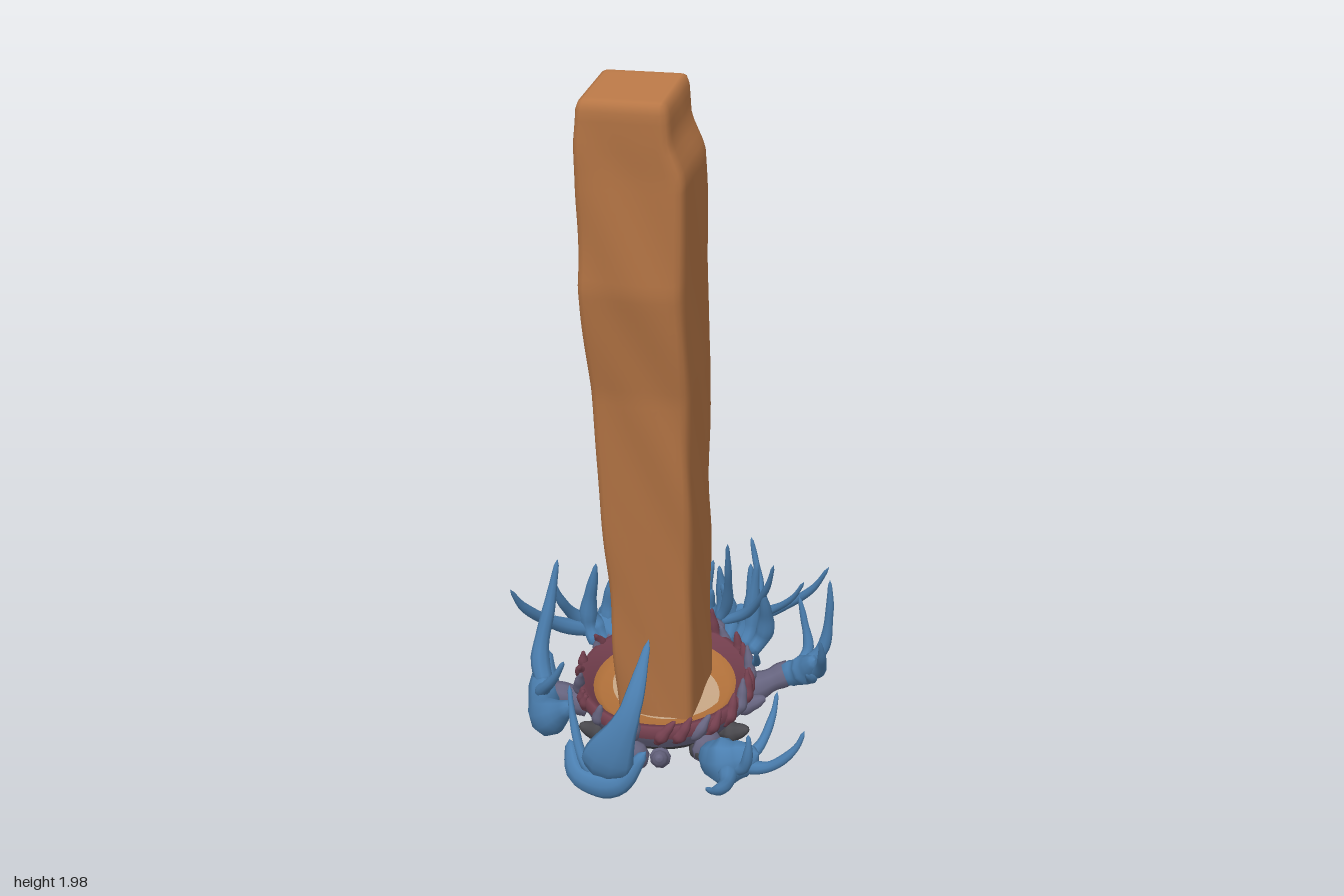
import * as THREE from 'three';
import { mergeVertices } from 'three/addons/utils/BufferGeometryUtils.js';

const mat = (name, color) =>
  Object.assign(new THREE.MeshStandardMaterial({ color }), { name });

// Small seeded generator for the irregular growth
let seed = 7;
const rand = (a, b) => {
  seed = (seed * 16807) % 2147483647;
  return a + (b - a) * (seed / 2147483647);
};

// Linear interpolation through evenly spaced values
const sample = (list, t) => {
  const f = Math.min(t, 0.9999) * (list.length - 1), i = Math.floor(f);
  return list[i] + (list[i + 1] - list[i]) * (f - i);
};

const smooth = (geo) => {
  geo.deleteAttribute('uv');
  geo.deleteAttribute('normal');
  const g = mergeVertices(geo, 1e-5);
  g.computeVertexNormals();
  return g;
};

const vec = (p) => new THREE.Vector3(...p);

// Point at an angle around the vertical axis
const polar = (a, r, y) => vec([Math.sin(a) * r, y, Math.cos(a) * r]);

// Tapered organic limb along a curve; squash scales the cross-section per axis
function limb(name, material, points, radii, squash = [1, 1, 1]) {
  const curve = new THREE.CatmullRomCurve3(points);
  const n = 20, sides = 9, s = vec(squash);
  const geo = new THREE.TubeGeometry(curve, n, 1, sides);
  const pos = geo.attributes.position, v = new THREE.Vector3();
  for (let i = 0; i < pos.count; i++) {
    const ring = Math.floor(i / (sides + 1)), t = ring / n, c = curve.getPointAt(t);
    const end = ring === 0 || ring === n ? 0.02 : 1;
    const lump = 1 + 0.06 * Math.sin(ring * 0.8 + points[0].x * 40);
    v.fromBufferAttribute(pos, i).sub(c).multiply(s).multiplyScalar(sample(radii, t) * end * lump).add(c);
    pos.setXYZ(i, v.x, v.y, v.z);
  }
  const mesh = new THREE.Mesh(smooth(geo), material);
  mesh.name = name;
  return mesh;
}

// Tendril that swings outward first, then curls up to its tip
function tendril(material, root, tip, r) {
  const bend = (t, rise, out) => {
    const p = root.clone().lerp(tip, t);
    return p.set(p.x * out, root.y + (tip.y - root.y) * rise, p.z * out);
  };
  return limb('tendril', material, [root, bend(0.4, 0.22, 1.1), bend(0.8, 0.66, 1.05), tip],
    [r, r, r * 0.75, r * 0.55, 0.005]);
}

// Leaning, roughly hewn beam with softened corners
function makePost(material) {
  // height, front z, back z, right x, left x
  const stations = [
    [0.08, 0.11, -0.135, -0.12, 0.11], [0.6, 0.19, -0.06, -0.12, 0.12],
    [1.2, 0.285, 0.01, -0.13, 0.135], [1.5, 0.355, 0.085, -0.14, 0.14],
    [1.8, 0.38, 0.135, -0.125, 0.145], [1.88, 0.39, 0.15, -0.125, 0.115],
    [1.98, 0.40, 0.17, -0.115, 0.11],
  ];
  const at = (y) => {
    let i = 0;
    while (i < stations.length - 2 && y > stations[i + 1][0]) i++;
    const a = stations[i], b = stations[i + 1];
    const t = THREE.MathUtils.clamp((y - a[0]) / (b[0] - a[0]), 0, 1);
    return a.map((value, k) => value + (b[k] - value) * t);
  };
  const geo = smooth(new THREE.BoxGeometry(2, 2, 2, 14, 80, 14));
  const pos = geo.attributes.position, p = new THREE.Vector3(), q = new THREE.Vector3();
  const round = vec([0.18, 0.018, 0.18]);
  const inner = vec([1, 1, 1]).sub(round), outer = inner.clone().negate();
  for (let i = 0; i < pos.count; i++) {
    p.fromBufferAttribute(pos, i);
    q.copy(p).clamp(outer, inner);
    p.sub(q).divide(round).clampLength(0, 1).multiply(round).add(q);
    const h = 0.08 + (p.y + 1) * 0.95, [, zf, zb, xr, xl] = at(h);
    // Long diagonal carved grain, fading out at the top
    const grain = 0.004 * THREE.MathUtils.clamp((1.98 - h) * 8, 0, 1) *
      (Math.sin(h * 9 + p.x * 3.4 - p.z * 3) * Math.sin(h * 4 - p.z * 2) + 0.35 * Math.sin(h * 17 + p.x * 5 - p.z * 6));
    const dz = p.z * ((zf - zb) / 2 + grain);
    pos.setXYZ(i, (xl + xr) / 2 + p.x * ((xl - xr) / 2 + grain), h - dz * 0.18, (zf + zb) / 2 + dz);
  }
  geo.computeVertexNormals();
  const mesh = new THREE.Mesh(geo, material);
  mesh.name = 'post';
  return mesh;
}

export function createModel() {
  seed = 7;
  const model = new THREE.Group();
  const wood = mat('wood brown', 0xb87746);
  const blue = mat('growth blue', 0x4b7fb0);
  const mauve = mat('stem mauve', 0x66647f);
  const maroon = mat('rim maroon', 0x75404f);
  const tan = mat('ring tan', 0xb0703a);
  const cream = mat('core cream', 0xc6a584);
  const grey = mat('underside grey', 0x4a494e);
  model.add(makePost(wood));

  // Shallow tilted bowl, one lathe per colour band
  const bowl = new THREE.Group();
  bowl.name = 'bowl';
  const band = (name, material, ...pts) => {
    const mesh = new THREE.Mesh(
      new THREE.LatheGeometry(pts.map((p) => new THREE.Vector2(...p)), 48), material);
    mesh.name = name;
    bowl.add(mesh);
    return mesh;
  };
  band('bowlUnderside', grey, [0, 0], [0.13, 0.002], [0.19, 0.012], [0.215, 0.03], [0.235, 0.055]);
  band('bowlWall', mauve, [0.235, 0.055], [0.25, 0.085], [0.255, 0.1]);
  band('bowlRim', maroon, [0.255, 0.1], [0.258, 0.12], [0.25, 0.14], [0.238, 0.14], [0.21, 0.1]);
  band('bowlRing', tan, [0.215, 0.105], [0.19, 0.085], [0.1, 0.075]);
  band('bowlCore', cream, [0.172, 0.083], [0.1, 0.079], [0, 0.078]).position.set(0.008, 0, -0.03);
  bowl.rotation.x = 0.13;
  bowl.position.set(-0.005, 0.055, -0.02);
  model.add(bowl);

  // Ragged flakes around the rim, taller towards the back
  for (let i = 0; i < 30; i++) {
    const a = (i / 30) * Math.PI * 2 + rand(-0.08, 0.08);
    const h = rand(0.01, 0.05) + rand(0, 0.045) * (1 - Math.cos(a));
    bowl.add(limb('rimFlake', i % 3 ? maroon : mauve,
      [polar(a - 0.08, 0.235, 0.08), polar(a, 0.252, 0.115), polar(a + rand(0, 0.2), 0.25, 0.13 + h)],
      [0.015, 0.021, 0.014, 0.004]));
  }

  // A clump: stem from the bowl, curved body, and tendrils given as [x, y, z, radius]
  const clump = (rootPoint, thickness, bodyPoints, tips) => {
    const group = new THREE.Group(), root = vec(rootPoint);
    group.name = 'clump';
    const rim = root.clone().setY(0).setLength(0.225).setY(0.085 - 0.13 * root.z * 0.5);
    group.add(limb('stem', mauve, [rim, rim.clone().lerp(root, 0.5), root], [0.05, 0.042, 0.036, 0.04]));
    group.add(limb('clumpBody', blue, bodyPoints.map(vec),
      [0.4, 0.9, 1, 0.8, 0.25].map((k) => k * thickness), [0.95, 1.2, 0.9]));
    tips.forEach(([x, y, z, r]) => group.add(tendril(blue, root, vec([x, y, z]), r)));
    model.add(group);
  };
  // back right
  clump([-0.26, 0.15, -0.27], 0.05,
    [[-0.2, 0.13, -0.22], [-0.27, 0.17, -0.28], [-0.17, 0.21, -0.36], [-0.03, 0.25, -0.38]],
    [[-0.47, 0.42, 0.03, 0.026], [-0.38, 0.38, -0.11, 0.025]]);
  // back
  clump([0.07, 0.18, -0.36], 0.036,
    [[-0.04, 0.21, -0.37], [0.06, 0.17, -0.38], [0.16, 0.25, -0.36]],
    [[0.43, 0.47, -0.27, 0.02], [0.13, 0.53, -0.22, 0.018], [0.28, 0.5, -0.18, 0.017], [0.36, 0.42, -0.25, 0.016]]);
  // left
  clump([0.35, 0.16, -0.17], 0.04,
    [[0.3, 0.14, -0.16], [0.38, 0.18, -0.14], [0.43, 0.26, -0.08]],
    [[0.45, 0.48, -0.17, 0.021], [0.46, 0.38, 0.02, 0.023], [0.35, 0.38, -0.23, 0.018], [0.42, 0.26, 0.01, 0.02]]);
  // front left
  clump([0.25, 0.08, 0.24], 0.06,
    [[0.17, 0.07, 0.2], [0.24, 0.09, 0.25], [0.34, 0.14, 0.26]],
    [[0.47, 0.25, 0.28, 0.02], [0.24, 0.15, 0.47, 0.026], [0.36, 0.26, 0.12, 0.018], [0.32, 0.23, 0.31, 0.022]]);
  // front
  clump([-0.05, 0.07, 0.4], 0.036,
    [[-0.18, 0.16, 0.36], [-0.13, 0.09, 0.42], [-0.02, 0.09, 0.425], [0.06, 0.2, 0.42]],
    [[-0.18, 0.33, 0.35, 0.018]]);
  // right
  clump([-0.35, 0.12, 0.07], 0.054,
    [[-0.38, 0.22, -0.01], [-0.36, 0.11, 0.06], [-0.31, 0.11, 0.19], [-0.19, 0.23, 0.3]],
    [[-0.34, 0.51, -0.03, 0.028], [-0.24, 0.32, 0.22, 0.022]]);

  // Strand curling forward over the rim, and a hook at the very back
  model.add(tendril(blue, vec([0.19, 0.18, -0.18]), vec([0.28, 0.34, 0.05]), 0.015));
  model.add(tendril(blue, vec([0.18, 0.24, -0.35]), vec([0.15, 0.44, -0.46]), 0.017));

  // Tall broad frond at the front
  model.add(limb('frontFrond', blue,
    [[-0.07, 0.07, 0.4], [-0.04, 0.18, 0.44], [0.02, 0.33, 0.44], [0.05, 0.51, 0.35]].map(vec),
    [0.03, 0.062, 0.045, 0.024, 0.017, 0.005], [1.2, 1, 0.5]));

  // Upright spikes along the back arc
  for (let i = 0; i < 18; i++) {
    const a = Math.PI + 0.95 - (i / 17) * 1.55, lean = rand(-0.3, 0.2), h = rand(0.26, 0.44);
    model.add(limb('backSpike', blue,
      [polar(a, 0.34, 0.13), polar(a + lean * 0.3, 0.38, 0.2), polar(a + lean, rand(0.33, 0.38), h)],
      [0.02, 0.028, 0.019, 0.005]));
  }

  // Short low roots beneath the rim
  for (let i = 0; i < 12; i++) {
    const a = (i / 12) * Math.PI * 2 + 0.2, y = 0.08 - 0.035 * Math.cos(a);
    model.add(limb('root', i % 3 ? grey : mauve,
      [polar(a, 0.19, y), polar(a, 0.23, y + 0.005), polar(a, rand(0.25, 0.3), y + 0.035)],
      [0.02, 0.03, 0.024, 0.008]));
  }
  return model;
}
